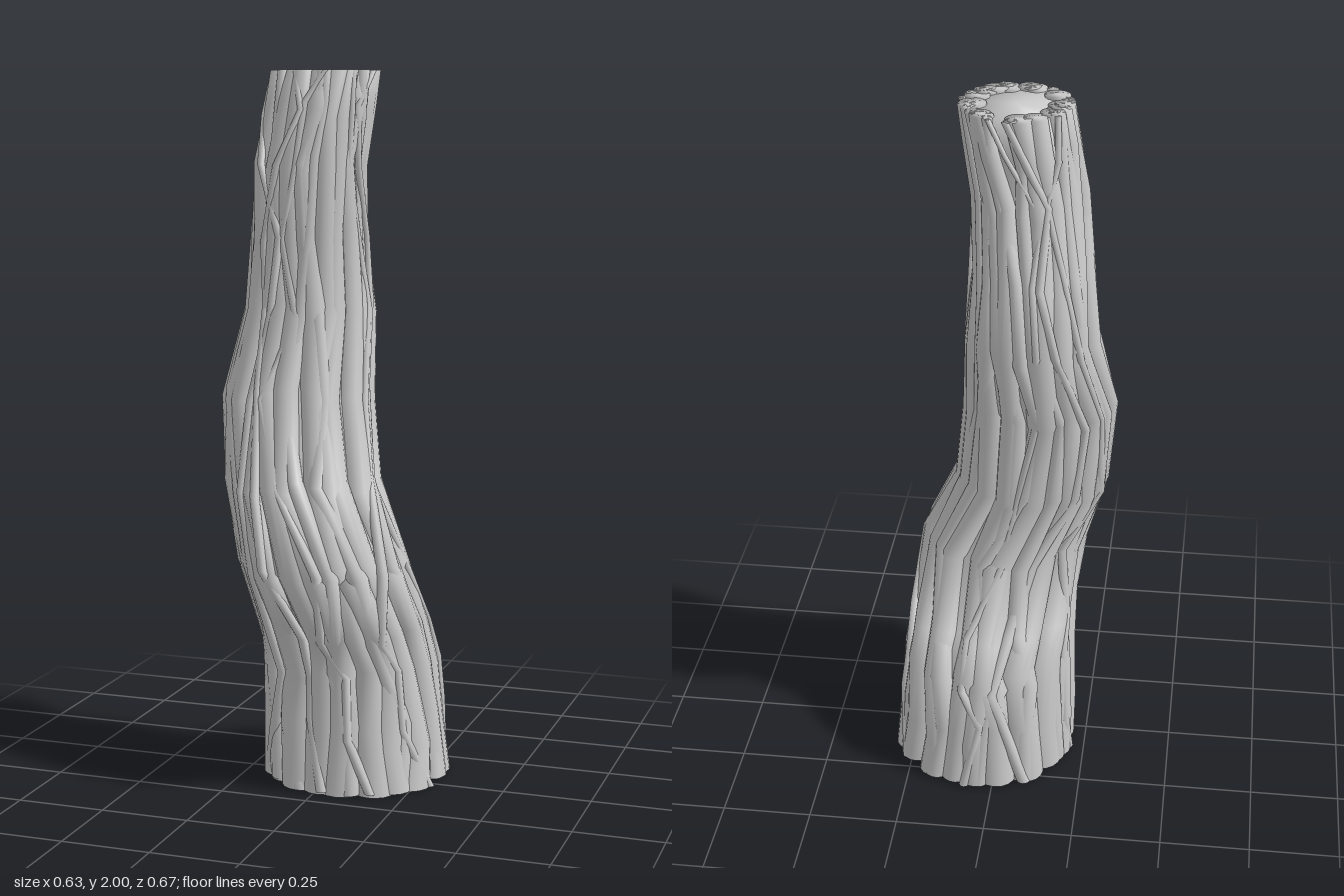
import * as THREE from 'three';

// Trunk sections: height, centre x, centre z, outer radius in x, outer radius in z
const SECTIONS = [
  [0, 0.048, -0.065, 0.268, 0.268],
  [0.35, 0.035, -0.058, 0.25, 0.262],
  [0.46, 0.028, -0.012, 0.245, 0.237],
  [0.65, 0.006, 0.1, 0.24, 0.238],
  [0.87, -0.08, 0.04, 0.223, 0.212],
  [1.12, -0.1, 0.02, 0.217, 0.174],
  [1.35, -0.085, -0.055, 0.182, 0.193],
  [1.55, -0.08, -0.025, 0.165, 0.178],
  [1.75, -0.07, 0.002, 0.156, 0.166],
  [1.89, -0.048, -0.012, 0.155, 0.156],
  [2, -0.035, -0.025, 0.152, 0.152],
];
const TOP = 2;

function sectionAt(y) {
  let i = 0;
  while (i < SECTIONS.length - 2 && y > SECTIONS[i + 1][0]) i++;
  const a = SECTIONS[i], b = SECTIONS[i + 1];
  const t = THREE.MathUtils.clamp((y - a[0]) / (b[0] - a[0]), 0, 1);
  const [cx, cz, rx, rz] = [1, 2, 3, 4].map((k) => a[k] + (b[k] - a[k]) * t);
  return { cx, cz, rx, rz };
}

// Small seeded generator
function seeded(seed) {
  let s = seed;
  return () => {
    s = (s * 16807) % 2147483647;
    return s / 2147483647;
  };
}

// Smooth skin over level rings {x, y, z, rx, rz}; closed at the top, open below
function loft(rings, sides) {
  const pos = [], index = [];
  for (const r of rings) {
    for (let j = 0; j < sides; j++) {
      const a = (j / sides) * Math.PI * 2;
      pos.push(r.x + Math.cos(a) * r.rx, r.y, r.z + Math.sin(a) * r.rz);
    }
  }
  for (let i = 0; i < rings.length - 1; i++) {
    for (let j = 0; j < sides; j++) {
      const k = (j + 1) % sides;
      const a = i * sides + j, b = i * sides + k;
      index.push(a, a + sides, b, b, a + sides, b + sides);
    }
  }
  const last = rings[rings.length - 1], base = (rings.length - 1) * sides;
  pos.push(last.x, last.y, last.z);
  for (let j = 0; j < sides; j++) {
    index.push(base + j, pos.length / 3 - 1, base + ((j + 1) % sides));
  }
  const geo = new THREE.BufferGeometry();
  geo.setAttribute('position', new THREE.Float32BufferAttribute(pos, 3));
  geo.setIndex(index);
  geo.computeVertexNormals();
  return geo;
}

// One bark strand climbing the trunk, wandering sideways at each bend
function strandRings(rand, angle, size, wander, twist, lift) {
  const heights = [0.004 + rand() * 0.012];
  for (let i = 1; i < SECTIONS.length; i++) {
    const lo = SECTIONS[i - 1][0], hi = SECTIONS[i][0];
    if (hi - lo > 0.3) heights.push((lo + hi) / 2 + (rand() - 0.5) * 0.1);
    heights.push(i === SECTIONS.length - 1 ? TOP : hi + (rand() - 0.5) * 0.05);
  }
  let drift = 0;
  return heights.map((y, i) => {
    const s = sectionAt(y);
    if (i > 0) drift = drift * 0.8 + (rand() - 0.5) * wander;
    const a = angle + drift + twist * y;
    const r = size * (s.rx + s.rz) * (0.9 + rand() * 0.2);
    const out = lift - rand() * 0.008;
    return {
      x: s.cx + Math.cos(a) * (s.rx - r + out),
      y,
      z: s.cz + Math.sin(a) * (s.rz - r + out),
      rx: r,
      rz: r,
    };
  });
}

export function createModel() {
  const group = new THREE.Group();
  group.name = 'twistedTrunk';
  const material = new THREE.MeshStandardMaterial({ color: 0xcccccc, side: THREE.DoubleSide });
  const add = (parent, name, geo) => {
    const mesh = new THREE.Mesh(geo, material);
    mesh.name = name;
    parent.add(mesh);
  };
  const rand = seeded(4711);

  // Inner core, hollow from below
  const core = SECTIONS.map(([y, x, z, rx, rz], i) => ({
    x, z, rx: rx * 0.86, rz: rz * 0.86,
    y: i === 0 ? 0.012 : Math.min(y, TOP - 0.004),
  }));
  add(group, 'core', loft(core, 40));

  // Thick, medium and thin strands of bark
  const layers = [
    { name: 'thickStrand', count: 19, size: 0.1, vary: 0.03, wander: 0.26, lift: 0.003 },
    { name: 'mediumStrand', count: 11, size: 0.062, vary: 0.02, wander: 0.42, lift: 0.003 },
    { name: 'thinStrand', count: 8, size: 0.032, vary: 0.012, wander: 0.65, lift: 0.007 },
  ];
  for (const l of layers) {
    const layer = new THREE.Group();
    layer.name = l.name + 's';
    for (let i = 0; i < l.count; i++) {
      const angle = ((i + rand() * 0.5) / l.count) * Math.PI * 2;
      const size = l.size + (rand() - 0.5) * l.vary;
      const twist = 0.12 + (rand() - 0.5) * 0.2;
      add(layer, l.name, loft(strandRings(rand, angle, size, l.wander, twist, l.lift), 16));
    }
    group.add(layer);
  }
  return group;
}
